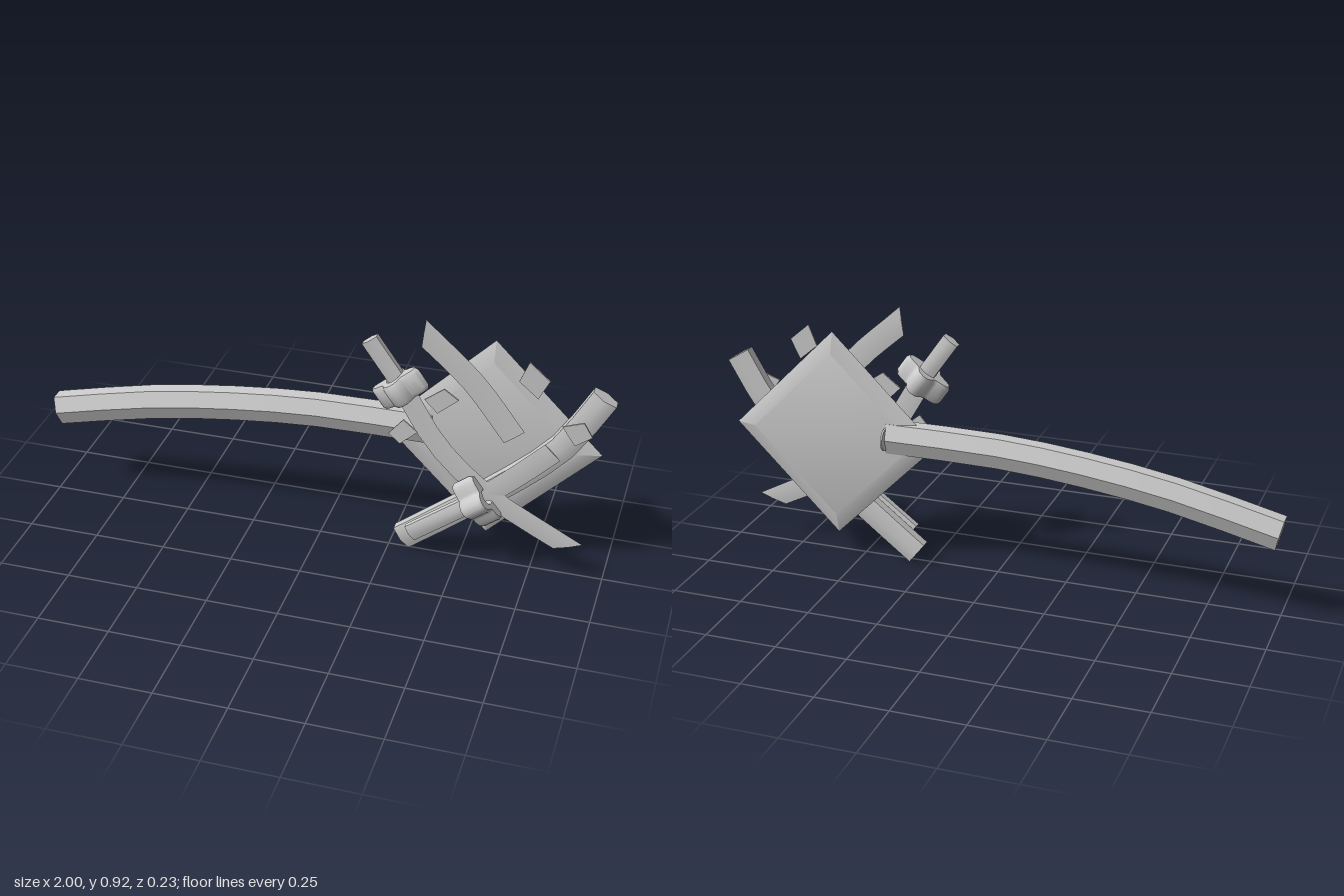
import * as THREE from 'three';
import { toCreasedNormals } from 'three/addons/utils/BufferGeometryUtils.js';

const material = new THREE.MeshStandardMaterial({ color: 0xcccccc });
const thinMaterial = new THREE.MeshStandardMaterial({ color: 0xcccccc, side: THREE.DoubleSide });

const HEX = [[1, -0.55], [1, 0.55], [0, 1], [-1, 0.55], [-1, -0.55], [0, -1]];
const BLADE = [[1, 0], [0, 1], [-1, 0], [0, -1]];

// Sweeps a section along a curve in the xy plane; skew slants the far end
function sweep(points, z, halfWidth, halfDepth, section, steps, skew = 0) {
  const curve = new THREE.CatmullRomCurve3(points.map(([x, y]) => new THREE.Vector3(x, y, z)));
  const pos = [], index = [], n = section.length;
  for (let i = 0; i <= steps; i++) {
    const p = curve.getPoint(i / steps), t = curve.getTangent(i / steps);
    for (const [a, b] of section) {
      const slide = i === steps ? skew * a : 0;
      pos.push(p.x - t.y * a * halfWidth + t.x * slide, p.y + t.x * a * halfWidth + t.y * slide, p.z + b * halfDepth);
    }
  }
  for (let i = 0; i < steps; i++) {
    for (let j = 0; j < n; j++) {
      const a = i * n + j, b = i * n + (j + 1) % n;
      index.push(a, b, b + n, a, b + n, a + n);
    }
  }
  const last = steps * n;
  for (let j = 1; j < n - 1; j++) {
    index.push(0, j + 1, j, last, last + j, last + j + 1);
  }
  const g = new THREE.BufferGeometry();
  g.setAttribute('position', new THREE.Float32BufferAttribute(pos, 3));
  g.setIndex(index);
  return toCreasedNormals(g, 0.6);
}

// Four-lobed ring threaded on a grip
function guardGeometry() {
  const pts = [];
  for (let i = 0; i < 32; i++) {
    const a = (i / 32) * Math.PI * 2, r = 0.07 + 0.017 * Math.cos(4 * a);
    pts.push(new THREE.Vector2(Math.cos(a) * r, Math.sin(a) * r * 0.68));
  }
  const shape = new THREE.Shape(pts);
  shape.holes.push(new THREE.Path().absarc(0, 0, 0.028, 0, Math.PI * 2, true));
  const g = new THREE.ExtrudeGeometry(shape, {
    depth: 0.06, bevelThickness: 0.012, bevelSize: 0.006, bevelSegments: 1, curveSegments: 8
  });
  g.translate(0, 0, -0.03);
  return toCreasedNormals(g, 0.7);
}

export function createModel() {
  const group = new THREE.Group();
  const add = (name, geometry, mat = material) => {
    const mesh = new THREE.Mesh(geometry, mat);
    mesh.name = name;
    group.add(mesh);
    return mesh;
  };

  // Long curved handle
  add('handle', sweep([[-0.99, 0.312], [-0.63, 0.396], [-0.32, 0.443], [-0.02, 0.468], [0.385, 0.47]],
    -0.042, 0.054, 0.046, HEX, 8));

  // Square plate with chamfered rim
  const profile = [[0, -0.021], [0.3, -0.021], [0.375, 0], [0.3, 0.021], [0, 0.021]];
  const plate = new THREE.LatheGeometry(profile.map(p => new THREE.Vector2(...p)), 4);
  plate.deleteAttribute('normal');
  plate.rotateX(Math.PI / 2);
  add('plate', toCreasedNormals(plate, 0.5)).position.set(0.583, 0.455, -0.045);

  // Small fin behind the handle's end
  const fin = new THREE.CylinderGeometry(0.04, 0.04, 0.006, 12);
  fin.rotateZ(Math.PI / 2);
  add('fin', fin).position.set(0.385, 0.47, -0.072);

  // Curved bar across the plate
  add('crossBar', sweep([[0.295, 0.028], [0.5, 0.19], [0.68, 0.34], [0.83, 0.49], [0.955, 0.697]],
    -0.01, 0.045, 0.03, HEX, 8));

  // Two grips, each with a lobed guard and a thin blade
  const swords = [
    { grip: [[0.18, 0.817], [0.295, 0.655]], guard: [0.29, 0.657],
      blade: [[0.29, 0.66], [0.42, 0.45], [0.6, 0.285], [0.88, 0.13]], skew: 0.035 },
    { grip: [[0.335, 0.083], [0.57, 0.262]], guard: [0.565, 0.262],
      blade: [[0.57, 0.265], [0.69, 0.375], [0.805, 0.49]], skew: 0 }
  ];
  for (const s of swords) {
    const [[x0, y0], [x1, y1]] = s.grip;
    add('grip', sweep(s.grip, 0.04, 0.03, 0.02, HEX, 1));
    add('blade', sweep(s.blade, 0.04, 0.038, 0.004, BLADE, 8, s.skew), thinMaterial);
    const guard = add('guard', guardGeometry());
    const along = new THREE.Vector3(x1 - x0, y1 - y0, 0).normalize();
    const across = new THREE.Vector3(-along.y, along.x, 0);
    guard.quaternion.setFromRotationMatrix(
      new THREE.Matrix4().makeBasis(across, new THREE.Vector3(0, 0, -1), along.clone().negate()));
    guard.position.set(s.guard[0], s.guard[1], 0.053);
  }

  // Loose blade end
  add('brokenBlade', sweep([[0.675, 0.525], [0.53, 0.71], [0.36, 0.865]], 0.04, 0.042, 0.004, BLADE, 8, -0.03),
    thinMaterial);

  // Four scattered blade shards
  const shards = [
    [[0.71, 0.815], [0.78, 0.755], [0.745, 0.685], [0.68, 0.74]],
    [[0.37, 0.62], [0.435, 0.67], [0.485, 0.635], [0.415, 0.575]],
    [[0.25, 0.47], [0.3, 0.53], [0.35, 0.49], [0.29, 0.435]],
    [[0.83, 0.595], [0.9, 0.62], [0.93, 0.57], [0.875, 0.53]]
  ];
  for (const corners of shards) {
    const shape = new THREE.Shape(corners.map(c => new THREE.Vector2(...c)));
    add('shard', new THREE.ExtrudeGeometry(shape, { depth: 0.006, bevelEnabled: false }), thinMaterial)
      .position.z = 0.037;
  }
  return group;
}
